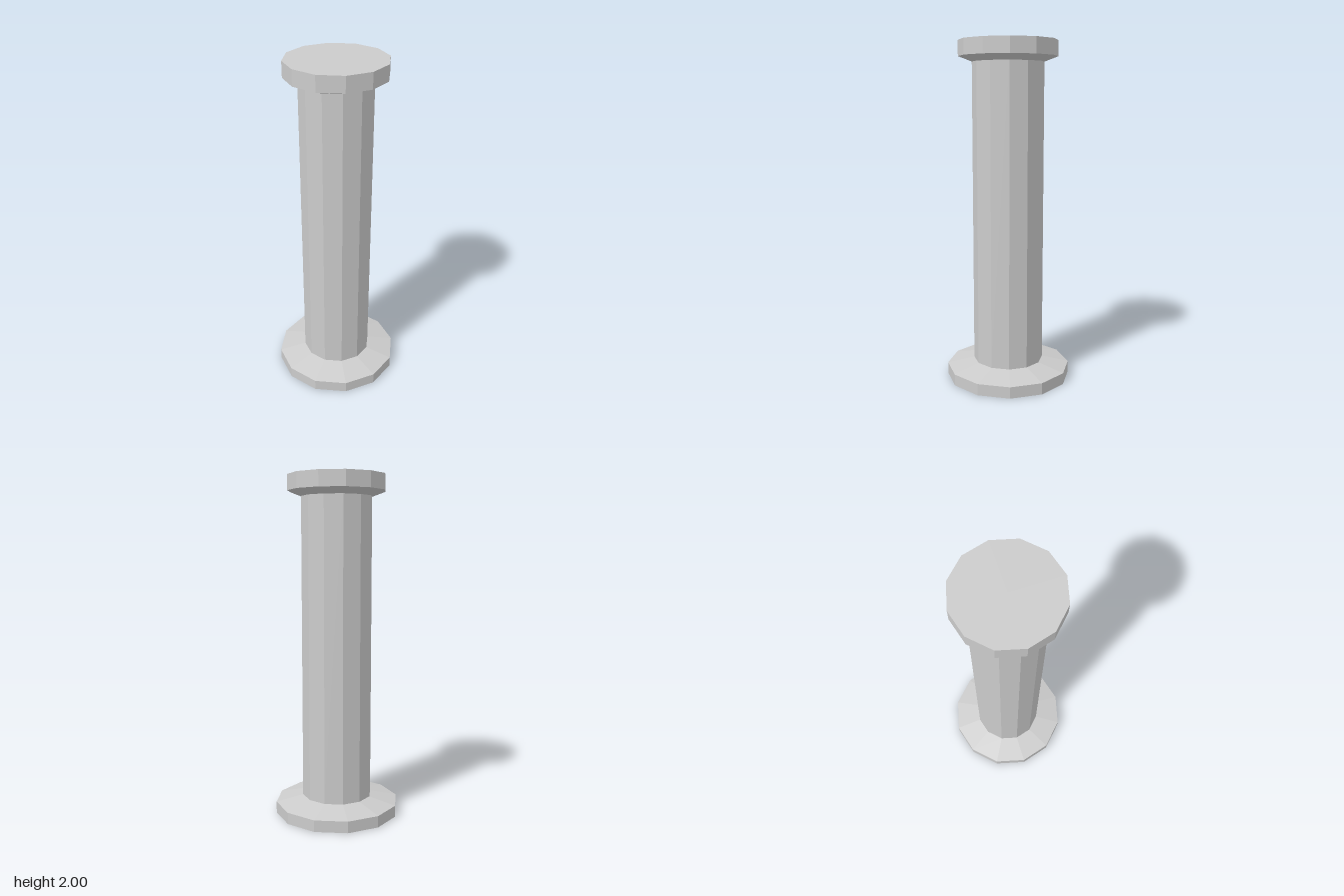
import * as THREE from 'three';

const SIDES = 12;
const material = new THREE.MeshStandardMaterial({ color: 0xcccccc, flatShading: true });

// Twelve-sided ring wall between two heights, tapering from one radius to another
function addWall(parent, name, rBottom, rTop, y0, y1) {
  const geometry = new THREE.CylinderGeometry(rTop, rBottom, y1 - y0, SIDES, 1, true);
  const mesh = new THREE.Mesh(geometry, material);
  mesh.name = name;
  mesh.position.y = (y0 + y1) / 2;
  parent.add(mesh);
}

// Flat end face, looking up or down
function addDisc(parent, name, radius, y, facing) {
  const mesh = new THREE.Mesh(new THREE.CircleGeometry(radius, SIDES), material);
  mesh.name = name;
  mesh.rotation.x = -facing * Math.PI / 2;
  mesh.position.y = y;
  parent.add(mesh);
}

export function createModel() {
  const column = new THREE.Group();
  column.name = 'column';
  const baseR = 0.37, shaftR = 0.208, capR = 0.287;

  // Base: upright plinth with a sloped shoulder
  const base = new THREE.Group();
  base.name = 'base';
  addDisc(base, 'baseUnderside', baseR, 0, -1);
  addWall(base, 'basePlinth', baseR, baseR, 0, 0.068);
  addWall(base, 'baseShoulder', baseR, shaftR, 0.068, 0.105);

  // Shaft
  addWall(column, 'shaft', shaftR, shaftR, 0.105, 1.88);

  // Capital: short flare under a flat-topped drum
  const capital = new THREE.Group();
  capital.name = 'capital';
  addWall(capital, 'capitalFlare', shaftR, capR, 1.88, 1.91);
  addWall(capital, 'capitalDrum', capR, capR, 1.91, 2);
  addDisc(capital, 'capitalTop', capR, 2, 1);

  column.add(base, capital);
  return column;
}
